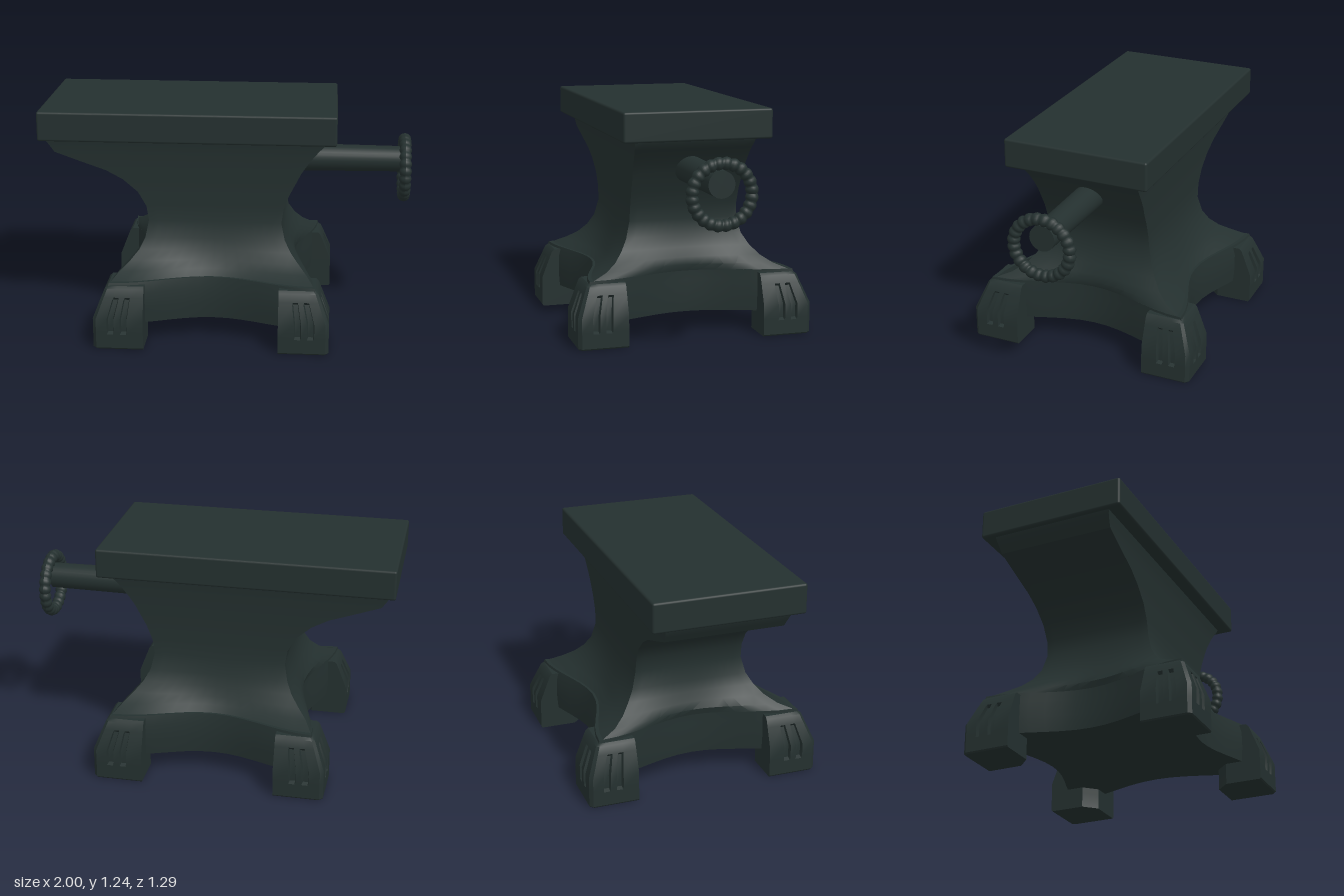
import * as THREE from 'three';
import { toCreasedNormals } from 'three/addons/utils/BufferGeometryUtils.js';
import { RoundedBoxGeometry } from 'three/addons/geometries/RoundedBoxGeometry.js';

const CX = -0.06; // centre of the base along x

// Skin a stack of horizontal rings (counter-clockwise from above) and cap both ends.
function loft(rings, crease) {
  const pos = [];
  const tri = (a, b, c) => pos.push(...a, ...b, ...c);
  const n = rings[0].length;
  const middle = r => [0, 1, 2].map(k => r.reduce((s, p) => s + p[k], 0) / n);
  const last = rings[rings.length - 1];
  const low = middle(rings[0]), high = middle(last);
  for (let i = 0; i < n; i++) {
    const j = (i + 1) % n;
    for (let k = 0; k + 1 < rings.length; k++) {
      const a = rings[k], b = rings[k + 1];
      tri(a[i], a[j], b[j]);
      tri(a[i], b[j], b[i]);
    }
    tri(low, rings[0][j], rings[0][i]);
    tri(high, last[i], last[j]);
  }
  const g = new THREE.BufferGeometry();
  g.setAttribute('position', new THREE.Float32BufferAttribute(pos, 3));
  return toCreasedNormals(g, crease);
}

// Rectangle whose four sides bow inwards by pinch.
function bodyRing([y, left, right, halfZ, pinch]) {
  const ring = [], N = 14;
  const cx = (left + right) / 2, hx = (right - left) / 2;
  const sides = [[0, 1], [1, 0], [0, -1], [-1, 0]]; // outward direction of each side
  for (const [nx, nz] of sides) {
    for (let i = 0; i < N; i++) {
      const t = -1 + 2 * i / N;
      const dip = pinch * Math.cos(t * Math.PI / 2) ** 2;
      ring.push([
        cx + nx * (hx - dip) + nz * t * hx,
        y,
        nz * (halfZ - dip) - nx * t * halfZ,
      ]);
    }
  }
  return ring;
}

// Clawed foot: square block, sloping upper faces, two slits on each outer face.
function footGeometry(sx, sz) {
  const W = 0.27;
  const levels = [ // height, inward slope, slit depth
    [0, 0.006, 0], [0.008, 0, 0], [0.085, 0, 0], [0.095, 0, 0.022], [0.17, 0, 0.022],
    [0.265, 0.037, 0.022], [0.28, 0.043, 0], [0.322, 0.06, 0], [0.335, 0.075, 0],
  ];
  const rings = levels.map(([y, slope, d]) => {
    // one outer face as [distance from corner, depth]
    const face = [[W, 0], [0.185, 0], [0.18, d], [0.152, d], [0.147, 0],
      [0.115, 0], [0.11, d], [0.082, d], [0.077, 0], [0.018, 0]];
    const plan = [
      ...face,
      ...face.map(([a, b]) => [b, a]).reverse(),
      [0.2, W], [W, 0.2], // chamfered inner corner
    ];
    const inset = v => slope + v * (W - slope) / W;
    const ring = plan.map(([a, b]) => [CX + sx * (0.63 - inset(a)), y, sz * (0.645 - inset(b))]);
    return sx * sz < 0 ? ring.reverse() : ring;
  });
  return loft(rings, 0.5);
}

// Ring with evenly spaced swollen beads.
function beadedRing(radius, tube, beads) {
  const g = new THREE.TorusGeometry(radius, tube, 12, beads * 6);
  const p = g.attributes.position;
  for (let i = 0; i < p.count; i++) {
    const x = p.getX(i), y = p.getY(i), z = p.getZ(i);
    const angle = Math.atan2(y, x);
    const swell = 0.86 + 0.24 * Math.abs(Math.sin(angle * beads / 2));
    const r = radius + (Math.hypot(x, y) - radius) * swell;
    p.setXYZ(i, Math.cos(angle) * r, Math.sin(angle) * r, z * swell);
  }
  g.computeVertexNormals();
  return g;
}

export function createModel() {
  const group = new THREE.Group();
  const iron = new THREE.MeshStandardMaterial({ color: 0x24302f });
  iron.name = 'dark iron';
  const add = (name, geometry, x = 0, y = 0, z = 0) => {
    const mesh = new THREE.Mesh(geometry, iron);
    mesh.name = name;
    mesh.position.set(x, y, z);
    group.add(mesh);
    return mesh;
  };

  // Flat working face
  add('topSlab', new RoundedBoxGeometry(1.59, 0.16, 0.81, 2, 0.012), -0.205, 1.16, 0);

  // Waisted body, flaring to the overhang above: y, left, right, half depth, pinch
  add('body', loft([
    [0.345, -0.605, 0.485, 0.55, 0.125],
    [0.38, -0.565, 0.445, 0.465, 0.075],
    [0.42, -0.515, 0.4, 0.405, 0.04],
    [0.47, -0.47, 0.355, 0.36, 0.018],
    [0.53, -0.44, 0.32, 0.325, 0.006],
    [0.62, -0.422, 0.3, 0.302, 0],
    [0.7, -0.435, 0.312, 0.3, 0],
    [0.78, -0.48, 0.342, 0.302, 0],
    [0.85, -0.56, 0.378, 0.305, 0],
    [0.9, -0.65, 0.402, 0.309, 0],
    [0.95, -0.79, 0.435, 0.313, 0],
    [1.0, -0.925, 0.472, 0.318, 0],
    [1.03, -0.945, 0.497, 0.322, 0],
    [1.06, -0.965, 0.525, 0.328, 0],
    [1.085, -0.975, 0.535, 0.333, 0],
  ].map(bodyRing), 0.6));

  // Concave skirt joining the feet
  add('baseSkirt', loft([
    [0.118, -0.61, 0.49, 0.575, 0.13],
    [0.2, -0.62, 0.5, 0.585, 0.135],
    [0.29, -0.62, 0.5, 0.585, 0.14],
    [0.348, -0.61, 0.49, 0.565, 0.13],
  ].map(bodyRing), 0.6));

  // Four clawed feet
  for (const sx of [-1, 1]) {
    for (const sz of [-1, 1]) {
      add(`${sz > 0 ? 'front' : 'back'}${sx > 0 ? 'Left' : 'Right'}Foot`, footGeometry(sx, sz));
    }
  }

  // Side bar with a beaded ring at its end
  const bar = add('sideBar', new THREE.CylinderGeometry(0.07, 0.077, 0.67, 28), 0.625, 0.91, 0);
  bar.rotation.z = -Math.PI / 2;
  const ring = add('beadedRing', beadedRing(0.156, 0.031, 24), 0.965, 0.862, 0);
  ring.rotation.y = Math.PI / 2;

  return group;
}
